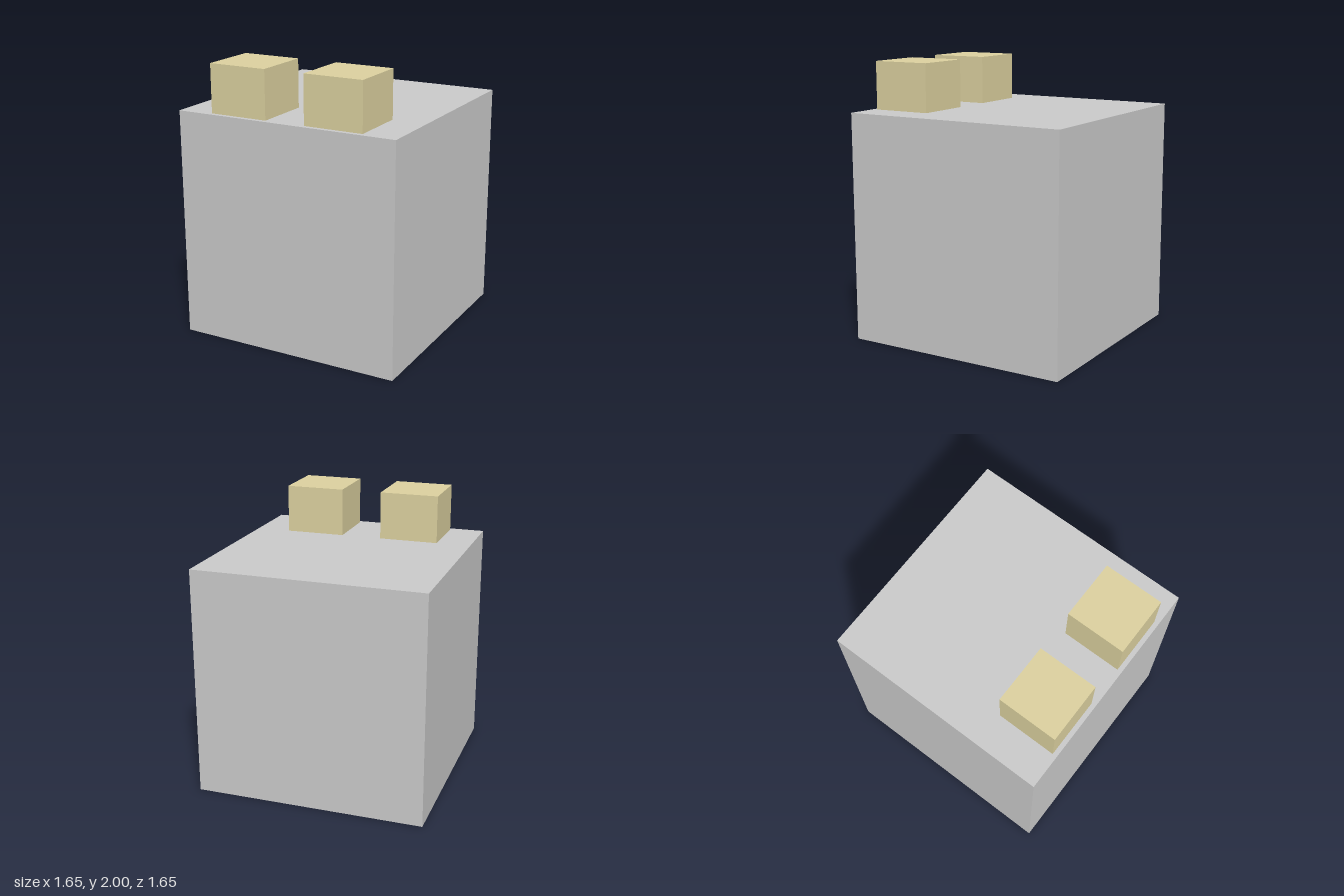
import * as THREE from 'three';

const BODY = 1.654; // edge of the large cube
const BLOCK = 0.43; // edge of the small cubes

function cube(name, size, material, x, y, z) {
  const mesh = new THREE.Mesh(new THREE.BoxGeometry(size, size, size), material);
  mesh.name = name;
  mesh.position.set(x, y, z);
  return mesh;
}

export function createModel() {
  const model = new THREE.Group();
  model.name = 'cubeWithBlocks';
  const grey = new THREE.MeshStandardMaterial({ color: 0xcccccc });
  const cream = new THREE.MeshStandardMaterial({ color: 0xddd2a0 });

  // Large cube standing on the ground
  model.add(cube('body', BODY, grey, 0, BODY / 2, 0));

  // Mirrored pair of blocks, partly sunk into the top near the front edge
  for (const [name, side] of [['leftBlock', 1], ['rightBlock', -1]]) {
    model.add(cube(name, BLOCK, cream, side * 0.363, 2 - BLOCK / 2, 0.579));
  }
  return model;
}
